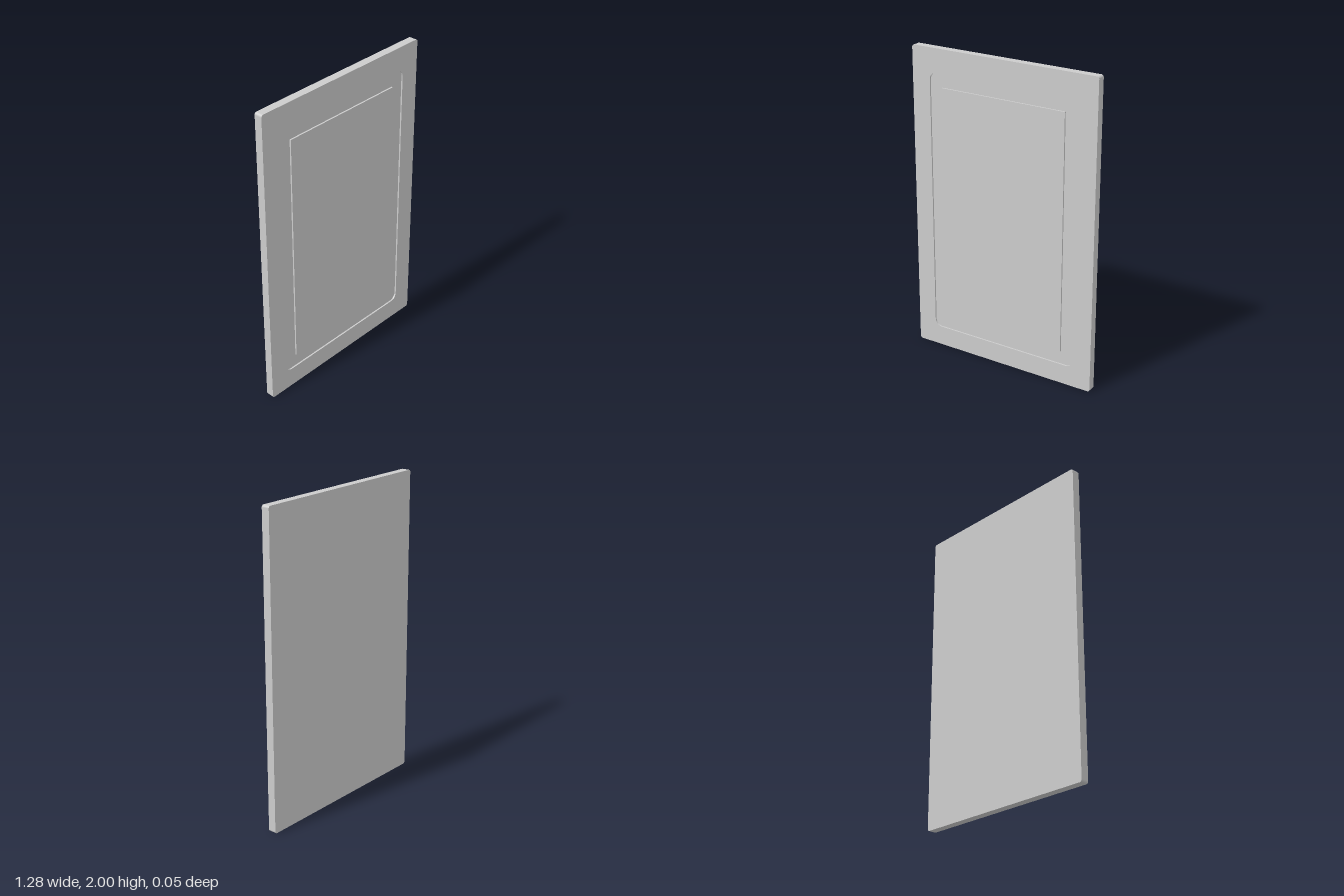
import * as THREE from 'three';

const WIDTH = 1.285, HEIGHT = 2, THICK = 0.052, GROOVE = 0.01;

// Traces a rectangle with optional rounded corners onto a Shape or Path
function rect(path, x, y0, y1, r) {
  const corners = [
    [x - r, y0 + r, -Math.PI / 2],
    [x - r, y1 - r, 0],
    [-x + r, y1 - r, Math.PI / 2],
    [-x + r, y0 + r, Math.PI],
  ];
  if (r === 0) {
    path.setFromPoints(corners.map(([cx, cy]) => new THREE.Vector2(cx, cy)));
  } else {
    path.moveTo(-x + r, y0);
    for (const [cx, cy, a] of corners) path.absarc(cx, cy, r, a, a + Math.PI / 2, false);
  }
  path.closePath();
  return path;
}

export function createModel() {
  const door = new THREE.Group();
  door.name = 'cabinetDoor';
  const material = new THREE.MeshStandardMaterial({ color: 0xcccccc });

  const addPart = (name, shape, z, depth) => {
    const geometry = new THREE.ExtrudeGeometry(shape, { depth, bevelEnabled: false, curveSegments: 8 });
    const mesh = new THREE.Mesh(geometry, material);
    mesh.name = name;
    mesh.position.z = z;
    door.add(mesh);
  };

  const outline = () => rect(new THREE.Shape(), WIDTH / 2, 0, HEIGHT, 0.015);
  const grooveZ = THICK / 2 - GROOVE;

  // Solid backing whose front forms the floor of the groove
  addPart('backSlab', outline(), -THICK / 2, THICK - GROOVE);

  // Border with a rounded opening
  const frame = outline();
  frame.holes.push(rect(new THREE.Path(), 0.516, 0.13, 1.845, 0.045));
  addPart('frontFrame', frame, grooveZ, GROOVE);

  // Square-cornered raised field in the middle
  addPart('raisedPanel', rect(new THREE.Shape(), 0.429, 0.217, 1.76, 0), grooveZ, GROOVE);

  return door;
}
